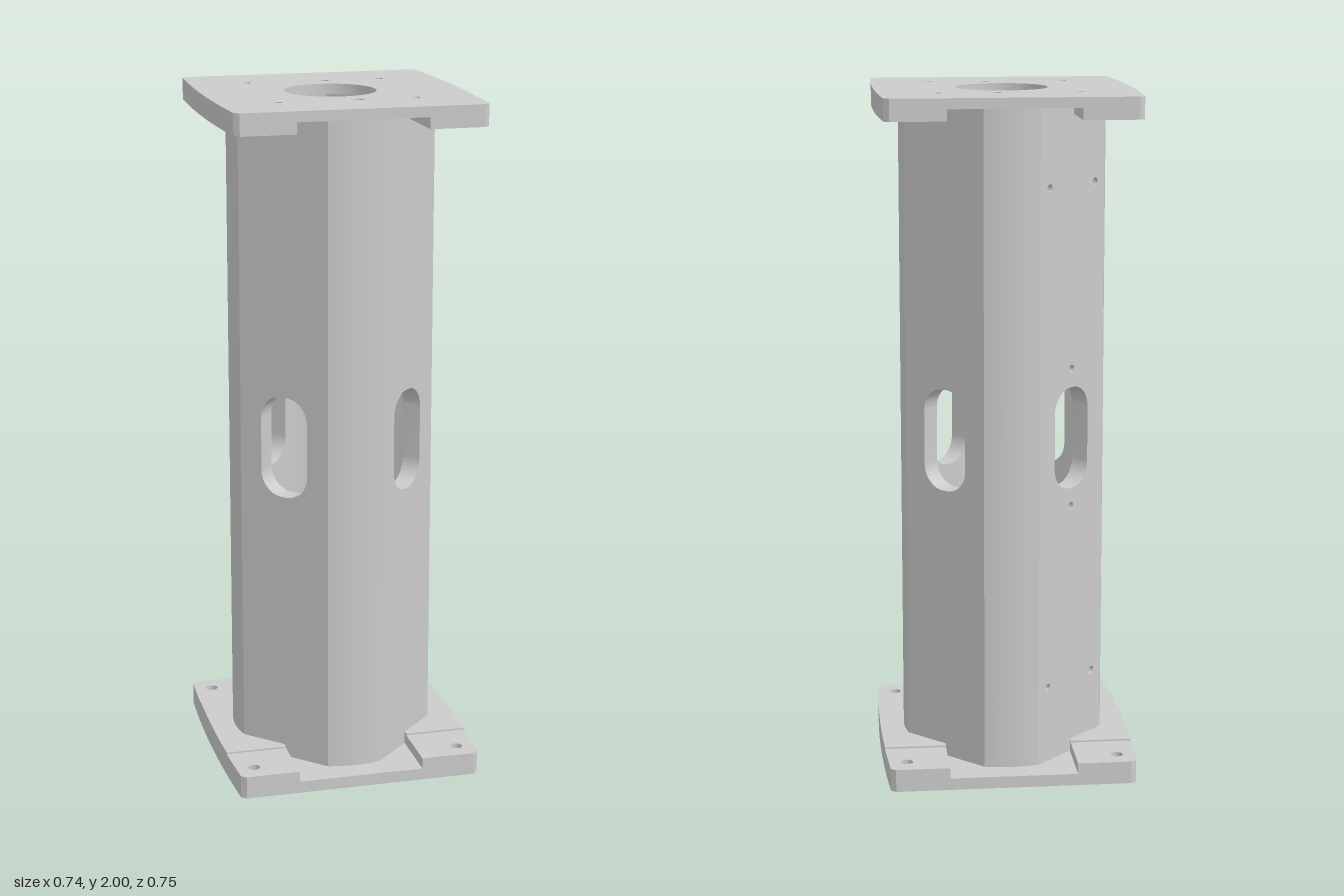
import * as THREE from 'three';
import { toCreasedNormals } from 'three/addons/utils/BufferGeometryUtils.js';

const material = new THREE.MeshStandardMaterial({ color: 0xcccccc });

// Tube section: a square turned 45 degrees whose corners are rounded by a circle
const OUTER = { flat: 0.261, radius: 0.3 };
const INNER = { flat: 0.205, radius: 0.245 };
const GROOVE = 0.187; // half width of the channel in each plate
const DEPTH = 0.373;  // half depth of the plates

const V = (x, y) => new THREE.Vector2(x, y);
const edgeX = (z) => 0.372 - 0.012 * (z / 0.36) ** 2; // bowed plate side
const halfFlat = (s) => Math.sqrt(s.radius ** 2 - s.flat ** 2);

function arc(radius, from, to, steps) {
  return Array.from({ length: steps + 1 }, (_, i) => {
    const a = from + ((to - from) * i) / steps;
    return V(radius * Math.cos(a), radius * Math.sin(a));
  });
}

// Closed outline of the tube section, corners on the axes
function section(s) {
  const half = Math.PI / 4 - Math.atan2(halfFlat(s), s.flat);
  return [0, 1, 2, 3].flatMap((k) => arc(s.radius, (k * Math.PI) / 2 - half, (k * Math.PI) / 2 + half, 8));
}

function circle(x, y, r, steps = 20) {
  return new THREE.Path(arc(r, 0, Math.PI * 2, steps).slice(0, -1).map((p) => p.add(V(x, y))));
}

function extrude(points, holes, depth) {
  const shape = new THREE.Shape(points);
  shape.holes.push(...holes);
  const geo = new THREE.ExtrudeGeometry(shape, { depth, bevelEnabled: false, curveSegments: 10 });
  return toCreasedNormals(geo, 0.5);
}

// Horizontal slab between two heights; shape y becomes -z
function slab(name, points, holes, y0, y1) {
  const geo = extrude(points, holes, y1 - y0);
  geo.rotateX(-Math.PI / 2);
  geo.translate(0, y0, 0);
  const mesh = new THREE.Mesh(geo, material);
  mesh.name = name;
  return mesh;
}

// Bowed right-hand side of a plate from -z to z
function bowedSide(z) {
  return Array.from({ length: 13 }, (_, i) => {
    const t = -z + (2 * z * i) / 12;
    return V(edgeX(t), t);
  });
}

function plateOutline() {
  const side = [V(0.345, -DEPTH), ...bowedSide(0.36), V(0.345, DEPTH)];
  return [...side, ...side.map((p) => V(-p.x, -p.y))];
}

// Raised rail beside the channel, cut out around the tube
function railOutline(sign, z, ends) {
  const sum = OUTER.flat * Math.SQRT2;
  const half = Math.PI / 4 - Math.atan2(halfFlat(OUTER), OUTER.flat);
  const pts = [
    ...ends.map((p) => V(p.x, -p.y)), ...bowedSide(Math.min(z, 0.36)), ...ends,
    V(GROOVE, z), V(GROOVE, sum - GROOVE),
    ...arc(OUTER.radius, half, -half, 8),
    V(GROOVE, GROOVE - sum), V(GROOVE, -z),
  ];
  return pts.map((p) => V(sign * p.x, p.y));
}

// Rounded slot outline
function slot(w, h, r) {
  const p = new THREE.Path();
  const x = w / 2 - r, y = h / 2 - r;
  p.absarc(x, y, r, 0, Math.PI / 2);
  p.absarc(-x, y, r, Math.PI / 2, Math.PI);
  p.absarc(-x, -y, r, Math.PI, Math.PI * 1.5);
  p.absarc(x, -y, r, Math.PI * 1.5, Math.PI * 2);
  p.closePath();
  return p;
}

function createTube() {
  const tube = new THREE.Group();
  tube.name = 'tube';
  const bottom = 0.035, top = 1.97;
  const w = halfFlat(INNER);

  for (let k = 0; k < 4; k++) {
    // Flat wall with its slot; the back wall on -x also has screw holes
    const angle = Math.PI / 4 + (k * Math.PI) / 2;
    const holes = [slot(0.155, 0.3, 0.07)];
    if (k === 2) {
      for (const s of [-1, 1]) {
        holes.push(circle(0, s * 0.205, 0.012, 12));
        for (const x of [-0.105, 0.105]) holes.push(circle(x, s * 0.737, 0.012, 12));
      }
    }
    const b = bottom - 1, t = top - 1;
    const geo = extrude([V(-w, b), V(w, b), V(w, t), V(-w, t)], holes, OUTER.flat - INNER.flat);
    geo.translate(0, 1, INNER.flat);
    const wall = new THREE.Mesh(geo, material);
    wall.rotation.y = angle;
    wall.name = 'tubeWall' + (k + 1);
    tube.add(wall);

    // Rounded corner joining two walls
    const ho = Math.PI / 4 - Math.atan2(halfFlat(OUTER), OUTER.flat);
    const hi = Math.PI / 4 - Math.atan2(w, INNER.flat);
    const seam = V(OUTER.flat, w).rotateAround(V(0, 0), -Math.PI / 4);
    const seamX = seam.x, seamY = Math.abs(seam.y);
    const wallEnd = V(seamX, seamY);
    const pts = [
      V(wallEnd.x, -wallEnd.y), ...arc(OUTER.radius, -ho, ho, 8), wallEnd,
      ...arc(INNER.radius, hi, -hi, 8),
    ];
    const corner = slab('tubeCorner' + (k + 1), pts, [], bottom, top);
    corner.rotation.y = (k * Math.PI) / 2;
    tube.add(corner);
  }
  return tube;
}

function createBasePlate() {
  const plate = new THREE.Group();
  plate.name = 'basePlate';
  const ends = [V(0.345, DEPTH)];
  const boltHoles = (signs) => signs.flatMap((s) => [-0.31, 0.31].map((z) => circle(s * 0.31, z, 0.018)));
  plate.add(slab('baseSlab', plateOutline(), [new THREE.Path(section(INNER)), ...boltHoles([-1, 1])], 0, 0.035));
  for (const s of [-1, 1]) {
    plate.add(slab('baseRail', railOutline(s, DEPTH, ends), boltHoles([s]), 0.035, 0.067));
    plate.add(slab('baseRailPad', railOutline(s, 0.2, []), [], 0.067, 0.072));
  }
  return plate;
}

function createTopPlate() {
  const plate = new THREE.Group();
  plate.name = 'topPlate';
  const ends = [V(0.345, DEPTH)];
  const cornerHoles = (signs) => signs.flatMap((s) => [-0.2, 0.2].map((z) => circle(s * 0.2, z, 0.0115)));
  const pinHoles = [-0.2, 0.2].map((z) => circle(0.033, z, 0.014));
  const holes = [circle(0, 0, 0.133, 28), ...cornerHoles([-1, 1]), ...pinHoles];
  plate.add(slab('topSlab', plateOutline(), holes, 1.97, 2));
  for (const s of [-1, 1]) {
    plate.add(slab('topRail', railOutline(s, DEPTH, ends), cornerHoles([s]), 1.937, 1.97));
  }
  return plate;
}

export function createModel() {
  const model = new THREE.Group();
  model.name = 'columnStand';
  model.add(createBasePlate(), createTube(), createTopPlate());
  return model;
}
